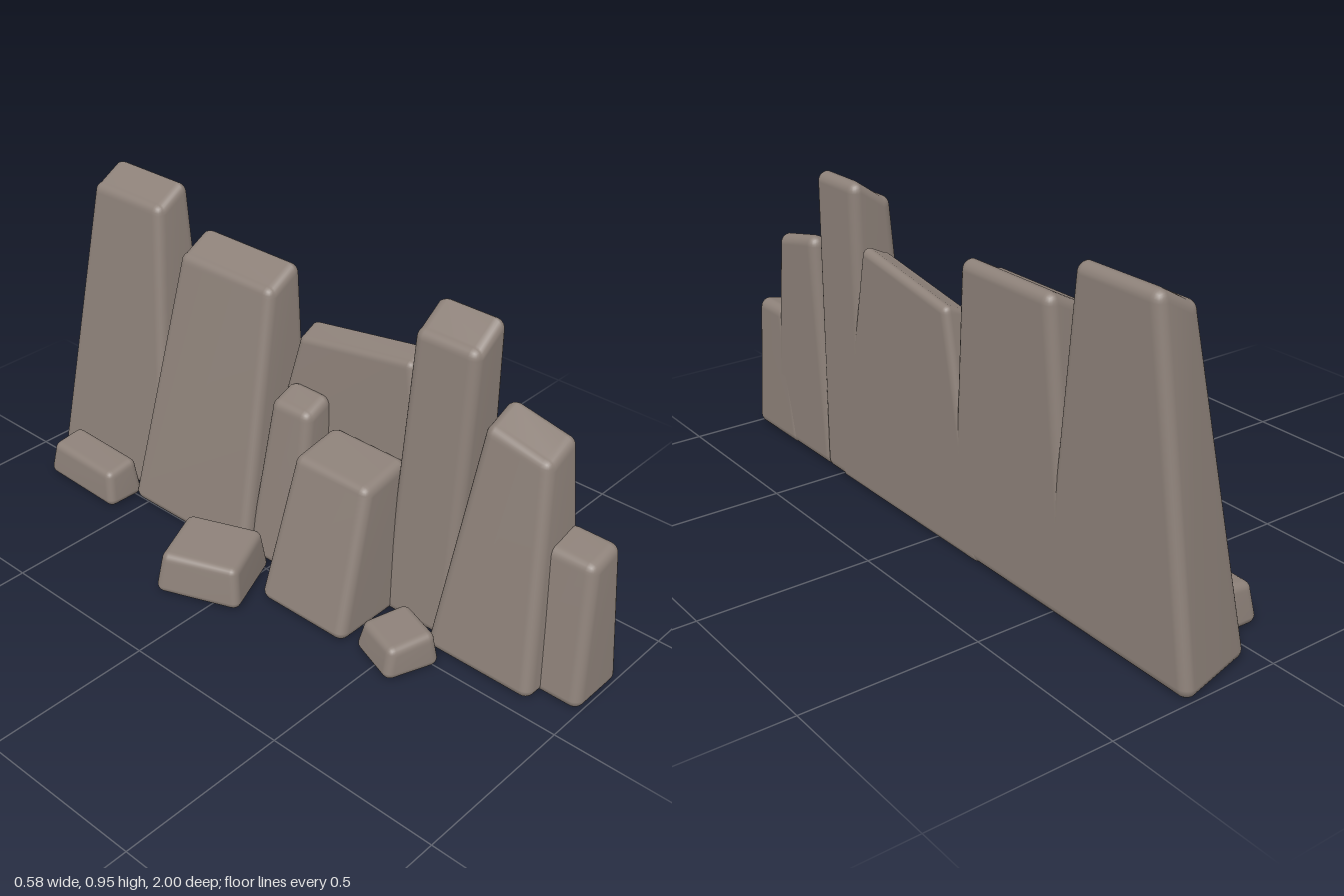
import * as THREE from 'three';
import { RoundedBoxGeometry } from 'three/addons/geometries/RoundedBoxGeometry.js';
import { mergeVertices } from 'three/addons/utils/BufferGeometryUtils.js';

const material = new THREE.MeshStandardMaterial({ color: 0x8c8078 });

// Rounded block whose eight corners follow a base and a top rectangle [x0, x1, z0, z1].
// dropX / dropZ lower the top toward its x0 / z1 side, inset trims the z0 side toward x0.
function stone(name, { base, top, h, dropX = 0, dropZ = 0, inset = 0, r = 0.03 }) {
  let geo = new RoundedBoxGeometry(1, 1, 1, 3, 0.1);
  const pos = geo.attributes.position, nor = geo.attributes.normal;
  for (let i = 0; i < pos.count; i++) {
    const sx = Math.sign(pos.getX(i)), sy = Math.sign(pos.getY(i)), sz = Math.sign(pos.getZ(i));
    const rect = sy > 0 ? top : base;
    const x = sx < 0 ? rect[0] : rect[1];
    let z = sz < 0 ? rect[2] : rect[3];
    if (sx < 0 && sz < 0 && sy < 0) z += inset;
    const y = sy < 0 ? 0 : h - (sx < 0 ? dropX : 0) - (sz > 0 ? dropZ : 0);
    // pull the corner in by r, then push out along the rounded normal
    pos.setXYZ(i,
      x + r * (nor.getX(i) - sx),
      y + r * (nor.getY(i) - sy),
      z + r * (nor.getZ(i) - sz));
  }
  geo.deleteAttribute('normal');
  geo.deleteAttribute('uv');
  geo = mergeVertices(geo, 1e-5);
  geo.computeVertexNormals();
  const mesh = new THREE.Mesh(geo, material);
  mesh.name = name;
  return mesh;
}

export function createModel() {
  const group = new THREE.Group();
  group.name = 'rockWall';
  const B = 0.285; // flat back plane

  // Tall slabs sharing the flat back
  const slabs = {
    tallEndSlab: { base: [0.04, B, -1.0, -0.47], top: [0.155, B, -0.865, -0.575], h: 0.95, dropX: 0.04, inset: 0.05 },
    wideSlab: { base: [-0.015, B, -0.58, -0.075], top: [0.15, B, -0.495, -0.13], h: 0.84, dropX: 0.04, inset: 0.03 },
    slantedSlab: { base: [0.14, B, -0.2, 0.49], top: [0.2, B, -0.07, 0.335], h: 0.69, dropX: 0.02, dropZ: -0.06, r: 0.022 },
    slimPillar: { base: [0.095, B, 0.35, 0.578], top: [0.155, B, 0.362, 0.565], h: 0.92, dropX: 0.05 },
    steppedSlab: { base: [0.045, B, 0.55, 0.885], top: [0.155, B, 0.598, 0.805], h: 0.71, dropX: 0.03, dropZ: 0.03 },
    lowEndSlab: { base: [0.1, 0.288, 0.745, 1.0], top: [0.155, 0.282, 0.81, 0.965], h: 0.432, dropX: 0.015 },
    // Lower stones leaning against the slabs
    smallLeaningStone: { base: [0.02, 0.24, -0.1, 0.095], top: [0.09, 0.2, -0.075, 0.07], h: 0.53, dropX: 0.02 },
    largeLeaningStone: { base: [-0.11, 0.24, 0.08, 0.385], top: [0.0, 0.18, 0.095, 0.36], h: 0.458, dropX: 0.02 },
  };
  for (const [name, spec] of Object.entries(slabs)) group.add(stone(name, spec));

  // Loose boulders: width, depth, height, x, z, turn
  const boulders = [
    [0.13, 0.3, 0.125, -0.04, -0.7, -0.03],
    [0.235, 0.255, 0.137, -0.14, -0.08, 0.38],
    [0.165, 0.17, 0.107, -0.038, 0.52, -0.36],
  ];
  boulders.forEach(([w, d, h, x, z, turn], i) => {
    const a = w / 2, b = d / 2;
    const mesh = stone('boulder' + (i + 1), {
      base: [-a, a, -b, b],
      top: [-a * 0.88, a * 0.88, -b * 0.92, b * 0.92],
      h, dropX: 0.01, r: 0.024,
    });
    mesh.position.set(x, 0, z);
    mesh.rotation.y = turn;
    group.add(mesh);
  });
  return group;
}
